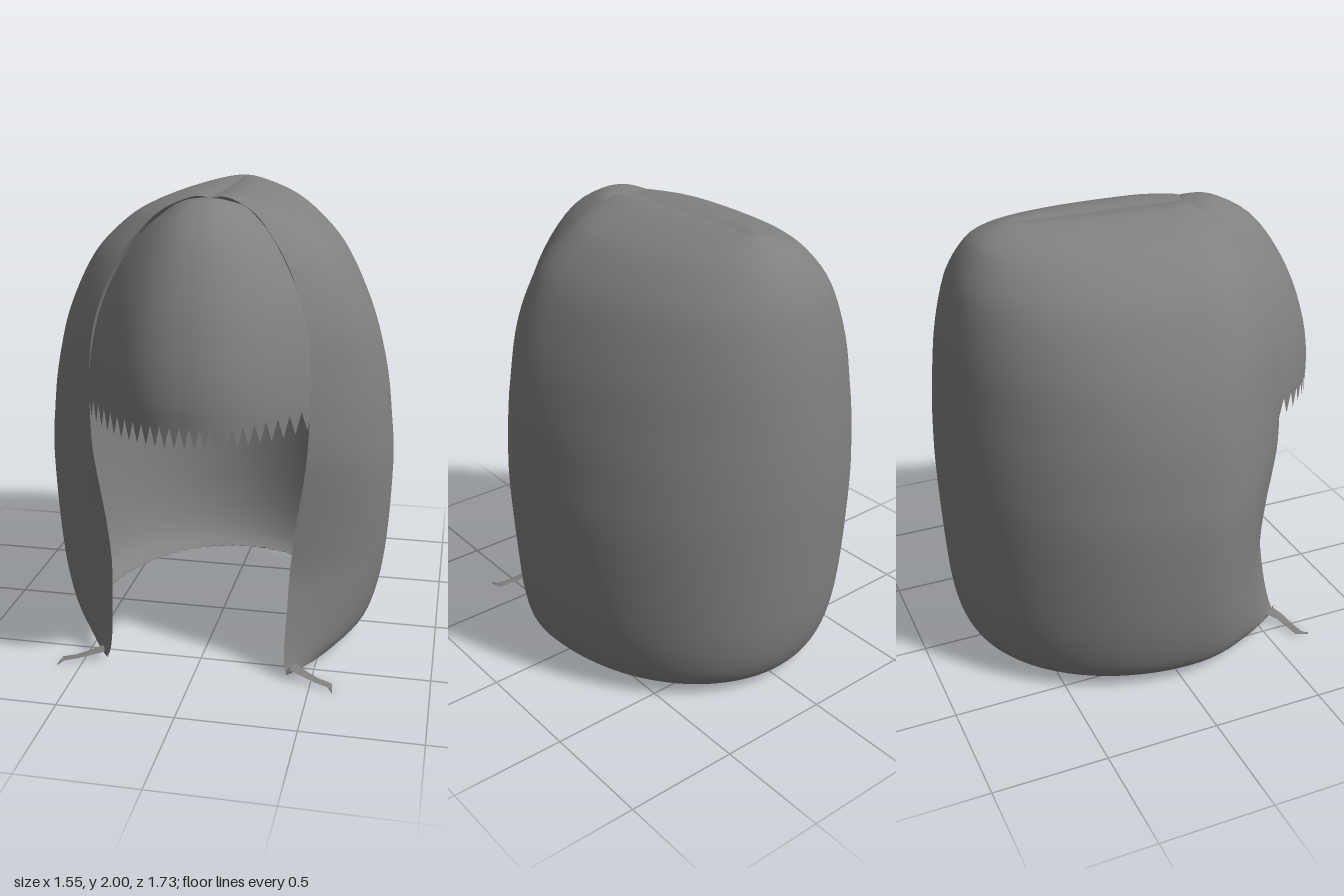
import * as THREE from 'three';

const hair = new THREE.MeshStandardMaterial({ color: 0x808080, side: THREE.DoubleSide });
hair.name = 'hair grey';

// Surface from a grid of points: rows run top to bottom, columns left to right seen from outside
function gridMesh(name, rows, cols, point) {
  const pos = [], idx = [];
  for (let j = 0; j <= rows; j++)
    for (let i = 0; i <= cols; i++) pos.push(...point(j / rows, i / cols, j, i));
  const n = cols + 1;
  for (let j = 0; j < rows; j++)
    for (let i = 0; i < cols; i++) {
      const a = j * n + i, b = a + n;
      idx.push(a, b, b + 1, a, b + 1, a + 1);
    }
  const g = new THREE.BufferGeometry();
  g.setAttribute('position', new THREE.Float32BufferAttribute(pos, 3));
  g.setIndex(idx);
  g.computeVertexNormals();
  const m = new THREE.Mesh(g, hair);
  m.name = name;
  return m;
}

// Smooth (Catmull-Rom) lookup between evenly spaced table rows
function sample(table, t) {
  const last = table.length - 1, f = t * last, k = Math.min(Math.floor(f), last - 1), s = f - k;
  const p0 = table[Math.max(k - 1, 0)], p1 = table[k], p2 = table[k + 1], p3 = table[Math.min(k + 2, last)];
  return p1.map((v, c) => {
    const m1 = (p2[c] - p0[c]) / 2, m2 = (p3[c] - v) / 2, d = p2[c] - v;
    return v + s * (m1 + s * (3 * d - 2 * m1 - m2 + s * (m1 + m2 - 2 * d)));
  });
}

// Main shell sections: height, half width, back z, front edge x, front edge z
const SHELL = [
  [1.987, 0, -0.42, 0, 0.27],
  [1.995, 0.07, -0.50, 0.05, 0.275],
  [1.985, 0.15, -0.56, 0.10, 0.285],
  [1.95, 0.265, -0.64, 0.18, 0.325],
  [1.90, 0.365, -0.695, 0.24, 0.365],
  [1.80, 0.48, -0.755, 0.32, 0.42],
  [1.70, 0.557, -0.79, 0.375, 0.455],
  [1.55, 0.633, -0.823, 0.43, 0.49],
  [1.40, 0.69, -0.843, 0.458, 0.51],
  [1.20, 0.738, -0.86, 0.463, 0.53],
  [1.00, 0.762, -0.866, 0.457, 0.54],
  [0.85, 0.775, -0.864, 0.44, 0.535],
  [0.65, 0.772, -0.856, 0.41, 0.525],
  [0.45, 0.76, -0.845, 0.39, 0.52],
  [0.30, 0.742, -0.832, 0.385, 0.54],
  [0.18, 0.715, -0.81, 0.38, 0.565],
  [0.10, 0.685, -0.78, 0.38, 0.585],
  [0.05, 0.645, -0.745, 0.385, 0.60],
  [0.012, 0.59, -0.69, 0.40, 0.61],
];

// Fringe sections: centre y, z, then edge x, y, z (edges tuck under the shell)
const FRINGE = [
  [1.982, 0.25, 0.03, 1.975, 0.245],
  [2.0, 0.37, 0.13, 1.965, 0.27],
  [1.975, 0.46, 0.20, 1.92, 0.305],
  [1.90, 0.585, 0.275, 1.845, 0.36],
  [1.77, 0.69, 0.355, 1.72, 0.415],
  [1.60, 0.78, 0.42, 1.57, 0.455],
  [1.42, 0.84, 0.46, 1.40, 0.48],
  [1.28, 0.864, 0.472, 1.27, 0.495],
  [1.19, 0.866, 0.474, 1.19, 0.505],
];

function shell() {
  const mid = 0.05, split = 0.7, rows = (SHELL.length - 1) * 3;
  return gridMesh('mainHair', rows, 96, (t, c, j, i) => {
    const [y, w, zb, xe, ze] = sample(SHELL, t);
    const u = 1 - 2 * c, s = Math.abs(u);
    // the crown is fuller than an ellipse
    const full = THREE.MathUtils.clamp((y - 1.3) / 0.7, 0, 1);
    let x, z, f = 0;
    if (s < split) {
      // back and sides
      const a = (s / split) * Math.PI / 2, e = 1 - 0.15 * full;
      x = w * Math.sin(a) ** e;
      z = mid + (zb - mid) * Math.max(Math.cos(a), 0) ** e;
    } else {
      // side panels turning in to the face opening
      f = (s - split) / (1 - split);
      x = w - (w - xe) * f ** (2 + full);
      z = mid + (ze - mid) * f;
    }
    // uneven hem, lifted at the front corners and the back
    let h = y;
    if (j === rows) h += (i % 2) * 0.008 + 0.045 * f ** 8 + 0.012 * (1 - s);
    return [Math.sign(u) * x, h, z];
  });
}

function fringe() {
  const rows = (FRINGE.length - 1) * 3, cols = 48;
  return gridMesh('fringe', rows + 1, cols, (t, c, j, i) => {
    const [yc, zc, xe, ye, ze] = sample(FRINGE, Math.min(j / rows, 1));
    const u = 2 * c - 1, k = 1 - Math.abs(u) ** 2.3;
    let y = ye + (yc - ye) * k;
    // saw-toothed lower edge
    if (j > rows) y = i % 2 ? 1.1 : 1.185;
    return [xe * u, y, ze + (zc - ze) * k];
  });
}

// Thin stray lock at a front corner, tapering to its tip
function strayLock(side) {
  const path = [[0.42, 0.045, 0.575, 0.03], [0.47, 0.035, 0.605, 0.022], [0.53, 0.02, 0.625, 0.018],
    [0.585, 0.012, 0.64, 0.018], [0.60, 0.002, 0.685, 0.002]];
  return gridMesh(side > 0 ? 'leftStrayLock' : 'rightStrayLock', path.length - 1, 2, (t, c, j) => {
    const [x, y, z, r] = path[j], v = (2 * c - 1) * side;
    return [side * (x - v * side * r * 0.4), y + 0.008 * (1 - v * v), z + v * side * r];
  });
}

export function createModel() {
  const group = new THREE.Group();
  group.name = 'bobHair';
  group.add(shell(), fringe());
  for (const side of [1, -1]) group.add(strayLock(side));
  return group;
}
